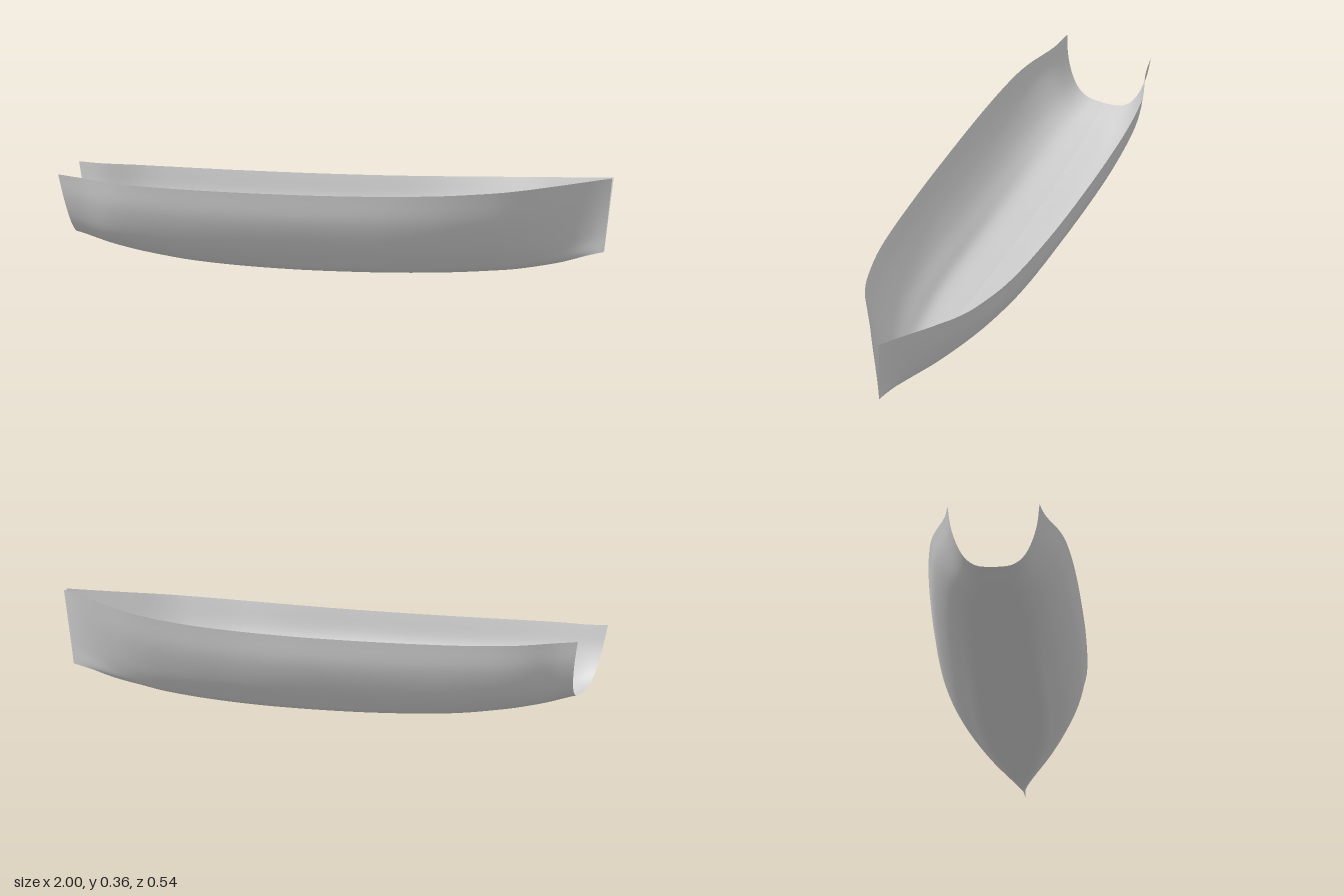
import * as THREE from 'three';

// Stations from stern to bow: position, half beam, sheer height, keel height
const stations = [
  [-1, 0.165, 0.335, 0.112], [-0.92, 0.181, 0.328, 0.094], [-0.8, 0.226, 0.32, 0.07],
  [-0.7, 0.246, 0.315, 0.05], [-0.5, 0.262, 0.309, 0.022], [-0.2, 0.27, 0.305, 0.005],
  [0.1, 0.269, 0.306, 0.002], [0.4, 0.253, 0.314, 0.007], [0.6, 0.215, 0.325, 0.019],
  [0.7, 0.179, 0.333, 0.033], [0.8, 0.124, 0.343, 0.052], [0.9, 0.067, 0.354, 0.075],
  [1, 0.013, 0.365, 0.096],
];

// Cross-sections from keel to sheer, as fractions of half beam and depth
const sections = [
  [-1, [[0, 0], [0.38, 0.03], [0.6, 0.13], [0.77, 0.31], [0.93, 0.64], [1, 1]]],
  [-0.1, [[0, 0], [0.425, 0.04], [0.58, 0.16], [0.74, 0.33], [0.93, 0.66], [1, 1]]],
  [0.25, [[0, 0], [0.4, 0.04], [0.56, 0.16], [0.73, 0.33], [0.92, 0.66], [1, 1]]],
  [0.72, [[0, 0], [0.18, 0.04], [0.36, 0.16], [0.54, 0.33], [0.81, 0.66], [1, 1]]],
  [1, [[0, 0], [0.03, 0.06], [0.08, 0.2], [0.25, 0.38], [0.6, 0.68], [1, 1]]],
];

// Smooth interpolation of one table column at position u
function sample(rows, u, value) {
  let i = 0;
  while (i < rows.length - 2 && u > rows[i + 1][0]) i++;
  const slope = (k) => {
    const a = rows[Math.max(k - 1, 0)], b = rows[Math.min(k + 1, rows.length - 1)];
    return (value(b) - value(a)) / (b[0] - a[0]);
  };
  const p = rows[i], q = rows[i + 1], d = q[0] - p[0], t = (u - p[0]) / d;
  const t2 = t * t, t3 = t2 * t;
  return value(p) * (2 * t3 - 3 * t2 + 1) + slope(i) * d * (t3 - 2 * t2 + t)
    + value(q) * (3 * t2 - 2 * t3) + slope(i + 1) * d * (t3 - t2);
}

// One half of a shell between two positions, inset inwards for the lining
function halfShell(side, start, end, inset) {
  const along = 80, around = 28, positions = [], indices = [];
  for (let i = 0; i <= along; i++) {
    const u = start + (end - start) * i / along;
    const beam = sample(stations, u, (r) => r[1]);
    const sheer = sample(stations, u, (r) => r[2]);
    const keel = sample(stations, u, (r) => r[3]);
    const rake = THREE.MathUtils.smoothstep(Math.abs(u), 0.78, 1) * (u < 0 ? 0.045 : 0.033);
    const curve = new THREE.CatmullRomCurve3(sections[0][1].map((_, k) => new THREE.Vector3(
      sample(sections, u, (r) => r[1][k][0]), sample(sections, u, (r) => r[1][k][1]), 0)),
    false, 'centripetal');
    for (let j = 0; j <= around; j++) {
      const p = curve.getPoint(j / around);
      const h = THREE.MathUtils.clamp(p.y, 0, 1);
      positions.push(
        u * (1 - rake * (1 - h)),
        keel + (sheer - keel) * h + inset * (1 - h),
        side * Math.max(0, p.x * (beam - inset)),
      );
      if (i < along && j < around) {
        const a = i * (around + 1) + j, b = a + around + 1;
        if (side > 0) indices.push(a, b, b + 1, a, b + 1, a + 1);
        else indices.push(a, b + 1, b, a, a + 1, b + 1);
      }
    }
  }
  const geometry = new THREE.BufferGeometry();
  geometry.setAttribute('position', new THREE.Float32BufferAttribute(positions, 3));
  geometry.setIndex(indices);
  geometry.computeVertexNormals();
  return geometry;
}

export function createModel() {
  const model = new THREE.Group();
  model.name = 'boatHull';
  const paleGrey = new THREE.MeshStandardMaterial({ color: 0xcccccc, side: THREE.DoubleSide });
  paleGrey.name = 'paleGrey';

  // Outer planking open at stern and stem, with a thin lining amidships
  for (const [side, label] of [[1, 'front'], [-1, 'back']]) {
    const hull = new THREE.Mesh(halfShell(side, -1, 1, 0), paleGrey);
    hull.name = label + 'HullSide';
    const lining = new THREE.Mesh(halfShell(side, -0.765, 0.78, 0.002), paleGrey);
    lining.name = label + 'HullLining';
    model.add(hull, lining);
  }
  return model;
}
